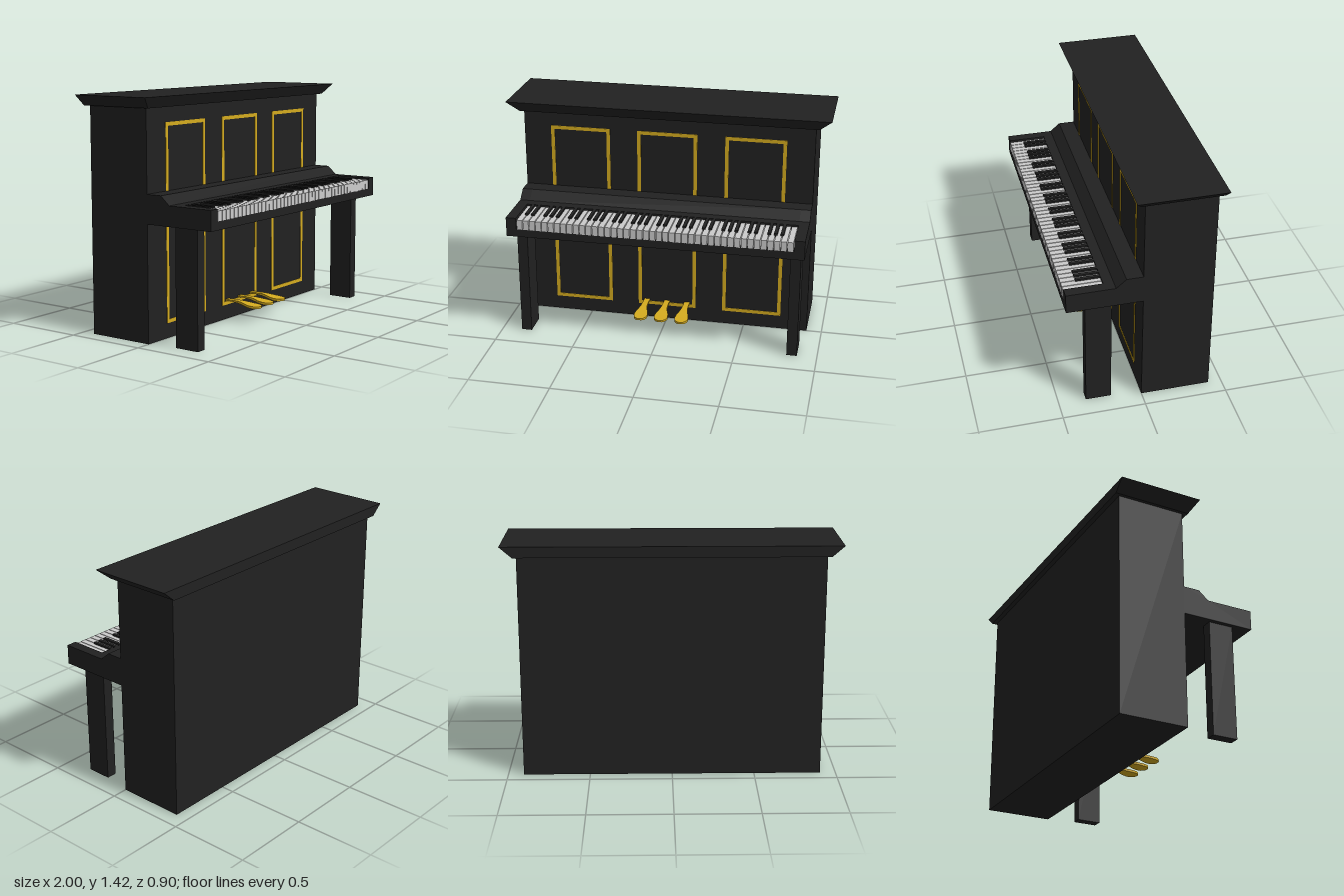
import * as THREE from 'three';

const black = new THREE.MeshStandardMaterial({ color: 0x212121 });
const gold = new THREE.MeshStandardMaterial({ color: 0xd4ab1f });
const ivory = new THREE.MeshStandardMaterial({ color: 0xcccccc });

// Box given by its extents on each axis
function box(name, [x0, x1], [y0, y1], [z0, z1], material) {
  const mesh = new THREE.Mesh(new THREE.BoxGeometry(x1 - x0, y1 - y0, z1 - z0), material);
  mesh.position.set((x0 + x1) / 2, (y0 + y1) / 2, (z0 + z1) / 2);
  mesh.name = name;
  return mesh;
}

// Side profile of [z, y] points, extruded from x0 to x1
function sideProfile(name, points, x0, x1) {
  const shape = new THREE.Shape(points.map(([z, y]) => new THREE.Vector2(-z, y)));
  const geometry = new THREE.ExtrudeGeometry(shape, { depth: x1 - x0, bevelEnabled: false });
  geometry.rotateY(Math.PI / 2);
  geometry.translate(x0, 0, 0);
  const mesh = new THREE.Mesh(geometry, black);
  mesh.name = name;
  return mesh;
}

// Lid with flared front and ends and an upright back
function createLid() {
  const geometry = new THREE.BoxGeometry(2, 0.065, 0.52);
  const p = geometry.attributes.position;
  for (let i = 0; i < p.count; i++) {
    if (p.getY(i) > 0) continue;
    p.setX(i, p.getX(i) * 0.925);
    if (p.getZ(i) > 0) p.setZ(i, p.getZ(i) - 0.04);
  }
  geometry.computeVertexNormals();
  const lid = new THREE.Mesh(geometry, black);
  lid.position.set(0, 1.3925, -0.19);
  lid.name = 'lid';
  return lid;
}

// Rectangular gold inlay
function createFrame(x) {
  const w = 0.1875, t = 0.022, y0 = 0.09, y1 = 1.27;
  const shape = new THREE.Shape([[-w, y0], [w, y0], [w, y1], [-w, y1]].map(p => new THREE.Vector2(...p)));
  shape.holes.push(new THREE.Path([[-w + t, y0 + t], [-w + t, y1 - t], [w - t, y1 - t], [w - t, y0 + t]]
    .map(p => new THREE.Vector2(...p))));
  const frame = new THREE.Mesh(new THREE.ExtrudeGeometry(shape, { depth: 0.003, bevelEnabled: false }), gold);
  frame.position.x = x;
  frame.name = 'panelFrame';
  return frame;
}

// Pedal sections: z, half width, bottom, top
const pedalSections = [
  [0, 0.018, 0.116, 0.126], [0.05, 0.018, 0.116, 0.126], [0.1, 0.02, 0.112, 0.126],
  [0.14, 0.029, 0.106, 0.121], [0.17, 0.039, 0.102, 0.116], [0.2, 0.043, 0.098, 0.113],
  [0.225, 0.039, 0.097, 0.111], [0.243, 0.026, 0.097, 0.11], [0.25, 0.012, 0.097, 0.109],
];

function createPedalGeometry() {
  const n = pedalSections.length - 1;
  const geometry = new THREE.BoxGeometry(2, 1, 1, 1, 1, n);
  const p = geometry.attributes.position;
  for (let i = 0; i < p.count; i++) {
    const [z, half, low, high] = pedalSections[Math.round((p.getZ(i) + 0.5) * n)];
    p.setXYZ(i, p.getX(i) * half, p.getY(i) > 0 ? high : low, z);
  }
  geometry.computeVertexNormals();
  return geometry;
}

// White keys, with black keys in groups of two and three
function createKeys() {
  const keys = new THREE.Group();
  keys.name = 'keys';
  const count = 43, half = 0.84, pitch = (2 * half) / count;
  const whiteGeometry = new THREE.BoxGeometry(pitch - 0.005, 0.06, 0.23);
  const blackGeometry = new THREE.BoxGeometry(0.02, 0.02, 0.145);
  for (let i = 0; i < count; i++) {
    const white = new THREE.Mesh(whiteGeometry, ivory);
    white.position.set(-half + (i + 0.5) * pitch, 0.778, 0.335);
    white.name = 'whiteKey';
    keys.add(white);
    if (i === count - 1 || i % 7 === 2 || i % 7 === 6) continue;
    const sharp = new THREE.Mesh(blackGeometry, black);
    sharp.position.set(-half + (i + 1) * pitch, 0.809, 0.2925);
    sharp.name = 'blackKey';
    keys.add(sharp);
  }
  return keys;
}

export function createModel() {
  const piano = new THREE.Group();
  piano.name = 'uprightPiano';

  // Cabinet
  const w = 0.905;
  piano.add(box('cabinet', [-w, w], [0, 1.36], [-0.42, 0], black), createLid());
  for (const x of [-0.5475, 0, 0.5475]) piano.add(createFrame(x));

  // Keyboard shelf, fallboard and end cheeks
  const inner = 0.842;
  piano.add(box('keyBed', [-inner, inner], [0.7, 0.75], [0, 0.45], black));
  piano.add(sideProfile('fallboard',
    [[0, 0.75], [0.22, 0.75], [0.22, 0.82], [0.16, 0.82], [0.1, 0.872], [0, 0.872]], -inner, inner));
  const cheek = [[0, 0.7], [0.45, 0.7], [0.45, 0.82], [0.16, 0.82], [0.1, 0.872], [0, 0.872]];
  piano.add(sideProfile('leftCheek', cheek, inner, w), sideProfile('rightCheek', cheek, -w, -inner));
  piano.add(createKeys());

  // Front legs
  piano.add(box('leftLeg', [0.813, 0.877], [0, 0.7], [0.18, 0.335], black));
  piano.add(box('rightLeg', [-0.877, -0.813], [0, 0.7], [0.18, 0.335], black));

  // Pedals
  const pedalGeometry = createPedalGeometry();
  for (const x of [-0.131, 0, 0.131]) {
    const pedal = new THREE.Mesh(pedalGeometry, gold);
    pedal.position.x = x;
    pedal.name = 'pedal';
    piano.add(pedal);
  }
  return piano;
}
